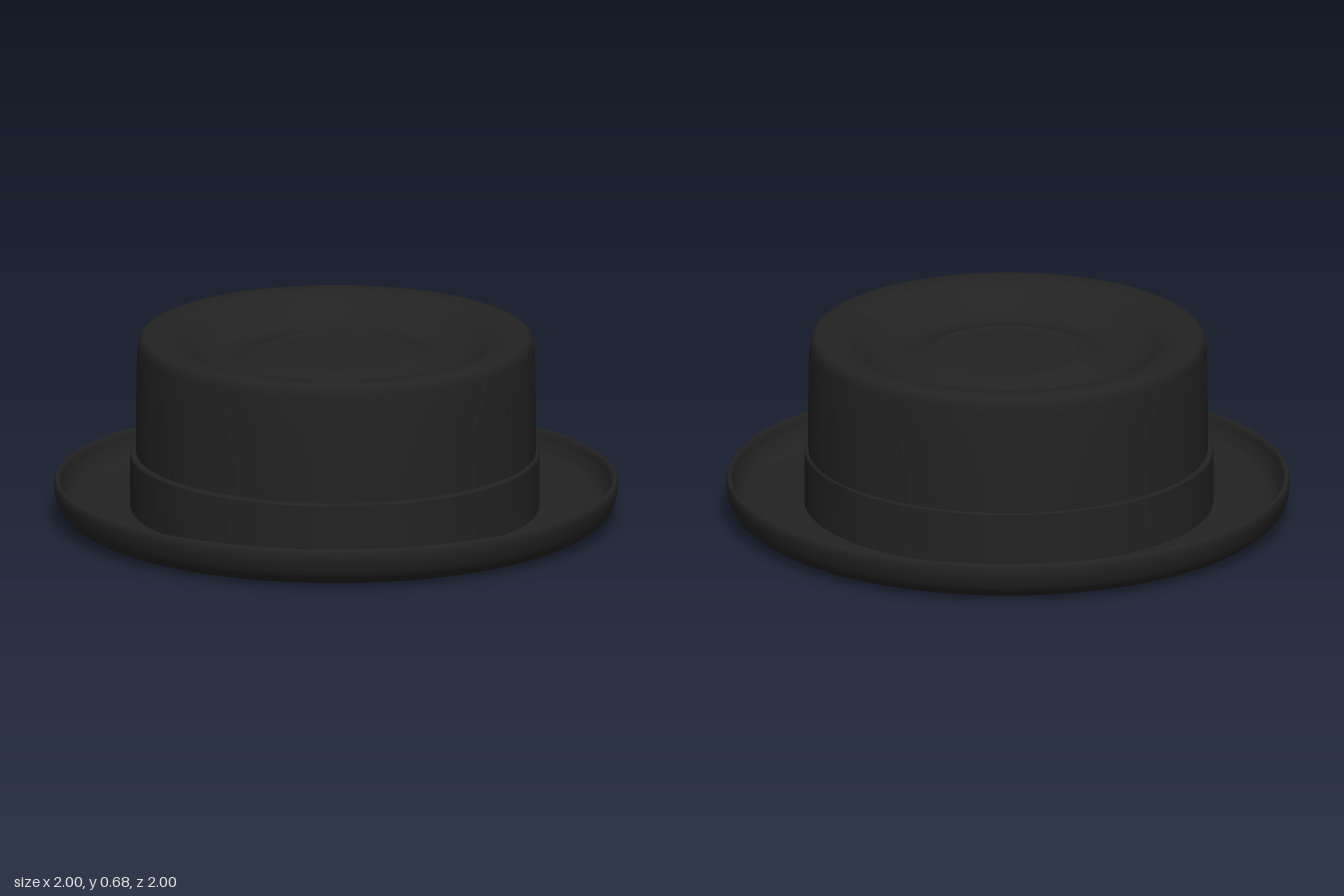
import * as THREE from 'three';
import { toCreasedNormals } from 'three/addons/utils/BufferGeometryUtils.js';

const felt = new THREE.MeshStandardMaterial({ color: 0x222222 });
felt.name = 'black felt';

// Smooth lathe through a few [radius, height] points
function turned(name, pts, steps) {
  const curve = new THREE.CatmullRomCurve3(pts.map(([r, y]) => new THREE.Vector3(r, y, 0)));
  const profile = curve.getPoints(steps).map((p) => new THREE.Vector2(Math.max(0, p.x), p.y));
  return part(name, new THREE.LatheGeometry(profile, 96));
}

function part(name, geometry) {
  const mesh = new THREE.Mesh(geometry, felt);
  mesh.name = name;
  return mesh;
}

export function createModel() {
  const hat = new THREE.Group();
  hat.name = 'hat';

  // Brim: flat underside, rolled outer edge, shallow dish on top
  hat.add(turned('brim', [
    [0.69, 0.02], [0.71, 0.004], [0.78, 0], [0.86, 0.005], [0.93, 0.018], [0.975, 0.05],
    [0.995, 0.095], [1, 0.135], [0.994, 0.153], [0.984, 0.155], [0.977, 0.145],
    [0.968, 0.115], [0.945, 0.08], [0.9, 0.062], [0.82, 0.055], [0.7, 0.055],
  ], 90));

  // Crown: upright wall, rounded rim, ring-shaped hollow around a low central mound
  hat.add(turned('crown', [
    [0.708, 0.04], [0.708, 0.2], [0.708, 0.45], [0.705, 0.6], [0.7, 0.655], [0.688, 0.675], [0.665, 0.681],
    [0.62, 0.679], [0.56, 0.661], [0.49, 0.615], [0.43, 0.59], [0.38, 0.588], [0.33, 0.602],
    [0.28, 0.619], [0.262, 0.622], [0.25, 0.617], [0.22, 0.616], [0.12, 0.622], [0, 0.624],
  ], 120));

  // Lining: inside of the crown, open at the bottom
  hat.add(turned('lining', [
    [0, 0.604], [0.12, 0.602], [0.25, 0.599], [0.33, 0.582], [0.38, 0.568], [0.43, 0.57],
    [0.49, 0.595], [0.56, 0.641], [0.62, 0.657], [0.66, 0.658], [0.68, 0.65], [0.69, 0.62],
    [0.692, 0.45], [0.692, 0.2], [0.69, 0.02],
  ], 100));

  // Ribbon band, set very slightly forward
  const bandProfile = [[0.69, 0.05], [0.725, 0.05], [0.725, 0.246], [0.721, 0.251], [0.69, 0.251]];
  const band = part('band', toCreasedNormals(new THREE.LatheGeometry(
    bandProfile.map(([r, y]) => new THREE.Vector2(r, y)), 96), 0.6));
  band.position.set(-0.005, 0, 0.01);
  hat.add(band);

  // Flat ribbon tab curved over the front of the band
  const half = 0.145;
  const mid = Math.PI / 2 - 0.022;
  const arc = new THREE.Shape();
  arc.absarc(0, 0, 0.745, mid - half, mid + half, false);
  arc.absarc(0, 0, 0.715, mid + half, mid - half, true);
  const tabShape = new THREE.ExtrudeGeometry(arc, { depth: 0.2, bevelEnabled: false, curveSegments: 16 });
  tabShape.rotateX(Math.PI / 2);
  const tab = part('ribbonTab', toCreasedNormals(tabShape, 0.6));
  tab.position.set(0, 0.253, 0.01);
  hat.add(tab);

  return hat;
}
